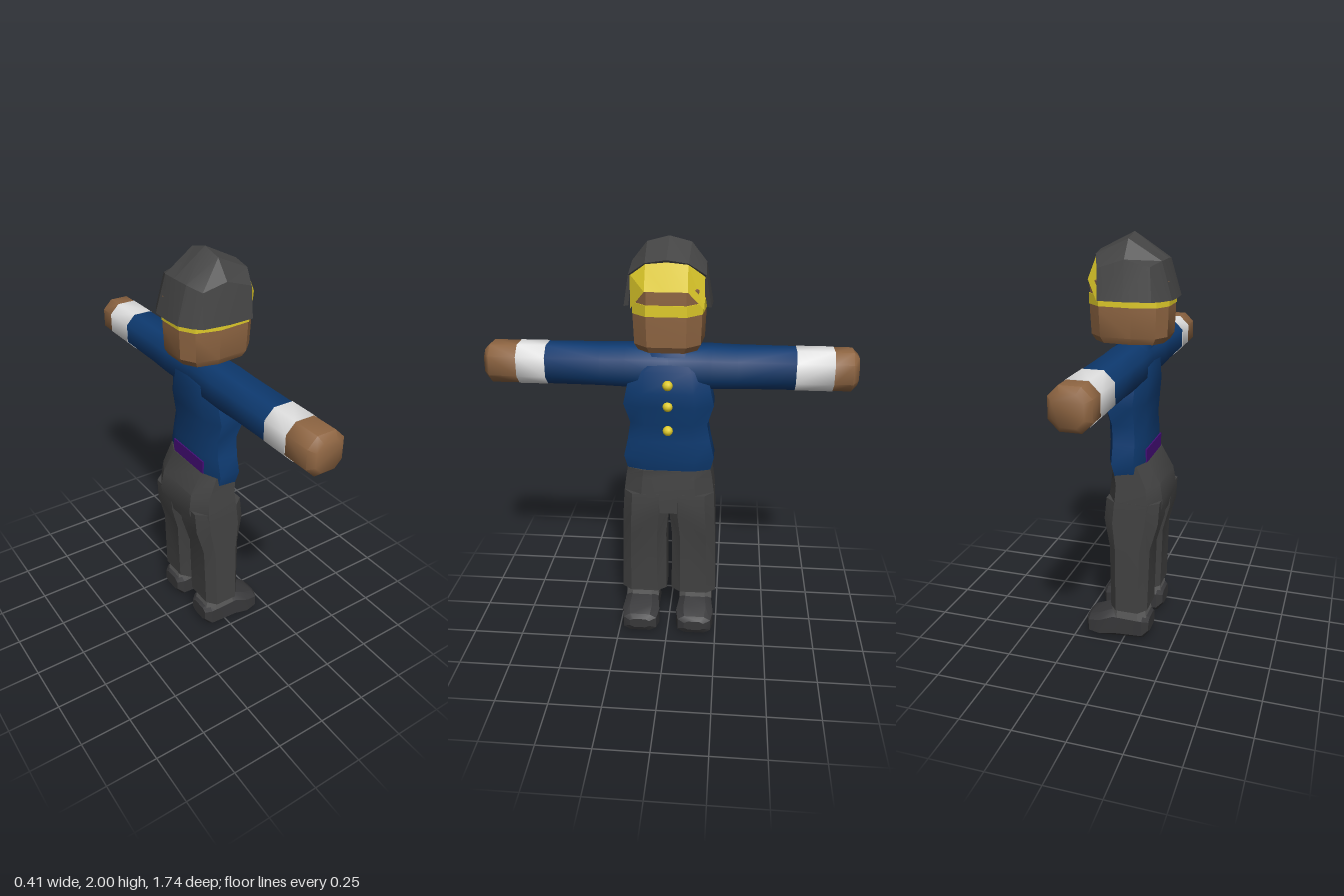
import * as THREE from 'three';
import { toCreasedNormals } from 'three/addons/utils/BufferGeometryUtils.js';

const mat = (name, color, extra = {}) => {
  const m = new THREE.MeshStandardMaterial({ color, ...extra });
  m.name = name;
  return m;
};

// Skin a row of point loops; closed loops get end caps and are turned outward.
function loft(rings, crease = 0.5, closed = true) {
  const pos = rings.flat(2), idx = [], n = rings[0].length;
  const cols = closed ? n : n - 1;
  for (let r = 0; r < rings.length - 1; r++)
    for (let i = 0; i < cols; i++) {
      const a = r * n + i, b = r * n + (i + 1) % n;
      idx.push(a, b, b + n, a, b + n, a + n);
    }
  if (closed) {
    const last = (rings.length - 1) * n;
    for (let i = 1; i < n - 1; i++) {
      idx.push(0, i + 1, i, last, last + i, last + i + 1);
    }
    const p = k => new THREE.Vector3().fromArray(pos, idx[k] * 3);
    let volume = 0;
    for (let k = 0; k < idx.length; k += 3) volume += p(k).dot(p(k + 1).cross(p(k + 2)));
    if (volume < 0) idx.reverse();
  }
  const g = new THREE.BufferGeometry();
  g.setAttribute('position', new THREE.Float32BufferAttribute(pos, 3));
  g.setIndex(idx);
  return toCreasedNormals(g, crease);
}

// Chamfered rectangle: eight [u, v] points
const oct = (u0, u1, v0, v1, k = 0.6) => {
  const cu = (u0 + u1) / 2, cv = (v0 + v1) / 2, hu = (u1 - u0) / 2, hv = (v1 - v0) / 2;
  return [[1, k], [k, 1], [-k, 1], [-1, k], [-1, -k], [-k, -1], [k, -1], [1, -k]]
    .map(([a, b]) => [cu + a * hu, cv + b * hv]);
};
const level = (y, x0, x1, z0, z1, k) => oct(x0, x1, z0, z1, k).map(([x, z]) => [x, y, z]);

export function createModel() {
  const group = new THREE.Group();
  const charcoal = mat('charcoal', 0x424242);
  const helmetGrey = mat('helmet charcoal', 0x444444, { side: THREE.DoubleSide });
  const boot = mat('boot black', 0x38383a);
  const sock = mat('sock grey', 0x5c5c5c);
  const blue = mat('coat blue', 0x0e3a70);
  const yellow = mat('yellow', 0xe0cb2a, { side: THREE.DoubleSide });
  const skin = mat('skin', 0x8e6542);
  const white = mat('cuff white', 0xe2e2e2);
  const purple = mat('belt purple', 0x450d78);

  const add = (name, geometry, material) => {
    const m = new THREE.Mesh(geometry, material);
    m.name = name;
    group.add(m);
    return m;
  };

  // Head: ten-sided rings, flat at the face
  const half = [[0.19, 0.09], [0.125, 0.155], [-0.03, 0.168], [-0.14, 0.14], [-0.18, 0.07]];
  const outline = [...half, ...half.map(([x, z]) => [x, -z]).reverse()];
  const headRing = (y, s) => outline.map(([x, z]) => [x * s, y, z * s]);
  add('head', loft([headRing(1.51, 0.87), headRing(1.54, 0.97), headRing(1.66, 1),
    headRing(1.79, 0.99), headRing(1.87, 0.7)]), skin);
  add('headBand', loft([headRing(1.68, 1.015), headRing(1.73, 1.015)]), yellow);
  add('neck', new THREE.CylinderGeometry(0.062, 0.066, 0.1, 8).translate(0, 1.49, 0), skin);

  // Arches across the head, mirrored about z = 0
  const arch = pts => [...pts, ...pts.slice(0, -1).reverse().map(([x, y, z]) => [x, y, -z])];
  const brow = [[0.12, 1.71, 0.195], [0.125, 1.85, 0.172], [0.155, 1.905, 0.095], [0.162, 1.92, 0]];
  add('helmet', loft([
    arch([[-0.13, 1.71, 0.185], [-0.165, 1.71, 0.15], [-0.2, 1.71, 0.09], [-0.205, 1.71, 0]]),
    arch([[-0.13, 1.71, 0.185], [-0.115, 1.86, 0.158], [-0.15, 1.88, 0.085], [-0.158, 1.885, 0]]),
    arch([[0, 1.71, 0.2], [0, 1.89, 0.168], [0, 1.975, 0.1], [0, 2, 0]]),
    arch(brow),
    arch(brow.map(([x, y, z]) => [x - 0.01, 1.71 + (y - 1.71) * 0.92, z * 0.9])),
  ], 0.3, false), helmetGrey);
  add('visor', loft([
    arch([[0.12, 1.85, 0.165], [0.152, 1.9, 0.093], [0.155, 1.912, 0]]),
    arch([[0.13, 1.7, 0.165], [0.196, 1.79, 0.095], [0.198, 1.79, 0]]),
  ], 0.3, false), yellow);

  // Coat body: [height, back x, front x, half width]
  add('coat', loft([
    [1.5, -0.07, 0.07, 0.1], [1.4, -0.097, 0.105, 0.18], [1.3, -0.1, 0.12, 0.2],
    [1.23, -0.092, 0.115, 0.215], [1.13, -0.088, 0.092, 0.185], [1.04, -0.093, 0.085, 0.2],
    [0.95, -0.093, 0.087, 0.22], [0.87, -0.085, 0.068, 0.2],
  ].map(([y, b, f, w]) => level(y, b, f, -w, w)), 0.7), blue);
  add('belt', new THREE.BoxGeometry(0.009, 0.08, 0.26).translate(-0.095, 0.97, 0), purple);
  [[1.34, 0.118], [1.235, 0.112], [1.11, 0.105]].forEach(([y, x]) =>
    add('button', new THREE.IcosahedronGeometry(0.025, 1).translate(x, y, 0), yellow));

  // Arms along z: [reach, scale] stations of one eight-sided section
  const arm = (side, stations) => loft(stations.map(([z, s]) =>
    oct(-0.094 * s, 0.094 * s, -0.094 * s, 0.094 * s, 0.5)
      .map(([x, y]) => [x, 1.405 + y, z * side])), 0.85);
  for (const [side, wrist, cuffStart] of [[1, 0.715, 0.578], [-1, 0.76, 0.587]]) {
    add('sleeve', arm(side, [[0, 1], [0.2, 1.04], [0.32, 1], [cuffStart, 0.98]]), blue);
    add('cuff', arm(side, [[cuffStart, 1], [wrist, 1]]), white);
    add('hand', arm(side, [[wrist, 0.98], [0.845, 0.98], [0.872, 0.7]]), skin);
  }

  // Trousers: seat raised at the back, then two legs
  const waist = level(0.885, -0.105, 0.076, -0.205, 0.205).map(([x, y, z]) => [x, x < -0.05 ? 0.945 : y, z]);
  add('trouserSeat', loft([
    waist,
    level(0.84, -0.165, 0.08, -0.213, 0.213),
    level(0.75, -0.18, 0.09, -0.225, 0.225),
    level(0.66, -0.165, 0.095, -0.228, 0.228),
    level(0.64, -0.1, 0.05, -0.2, 0.2),
  ]), charcoal);
  for (const side of [1, -1]) {
    const at = pts => pts.map(([x, y, z]) => [x, y, z * side]);
    add('trouserLeg', loft([
      at(level(0.76, -0.176, 0.09, 0, 0.224)),
      at(level(0.65, -0.17, 0.1, 0.002, 0.23)),
      at(level(0.51, -0.132, 0.072, 0.015, 0.236)),
      at(level(0.18, -0.122, 0.066, 0.013, 0.244)),
    ]), charcoal);
    add('sock', loft([
      at(level(0.2, -0.105, 0.055, 0.058, 0.222)),
      at(level(0.12, -0.118, 0.07, 0.055, 0.225)),
    ]), sock);
    // Boot stations along x: [x, sole, top, half width]
    add('boot', loft([
      [-0.13, 0.05, 0.125, 0.06], [-0.1, 0.015, 0.15, 0.085], [0.05, 0.002, 0.158, 0.085],
      [0.12, 0, 0.128, 0.096], [0.18, 0.01, 0.108, 0.085], [0.2, 0.04, 0.09, 0.05],
    ].map(([x, y0, y1, w]) => at(oct(y0, y1, 0.14 - w, 0.14 + w)
      .map(([y, z]) => [x, y, z])))), boot);
  }
  return group;
}
